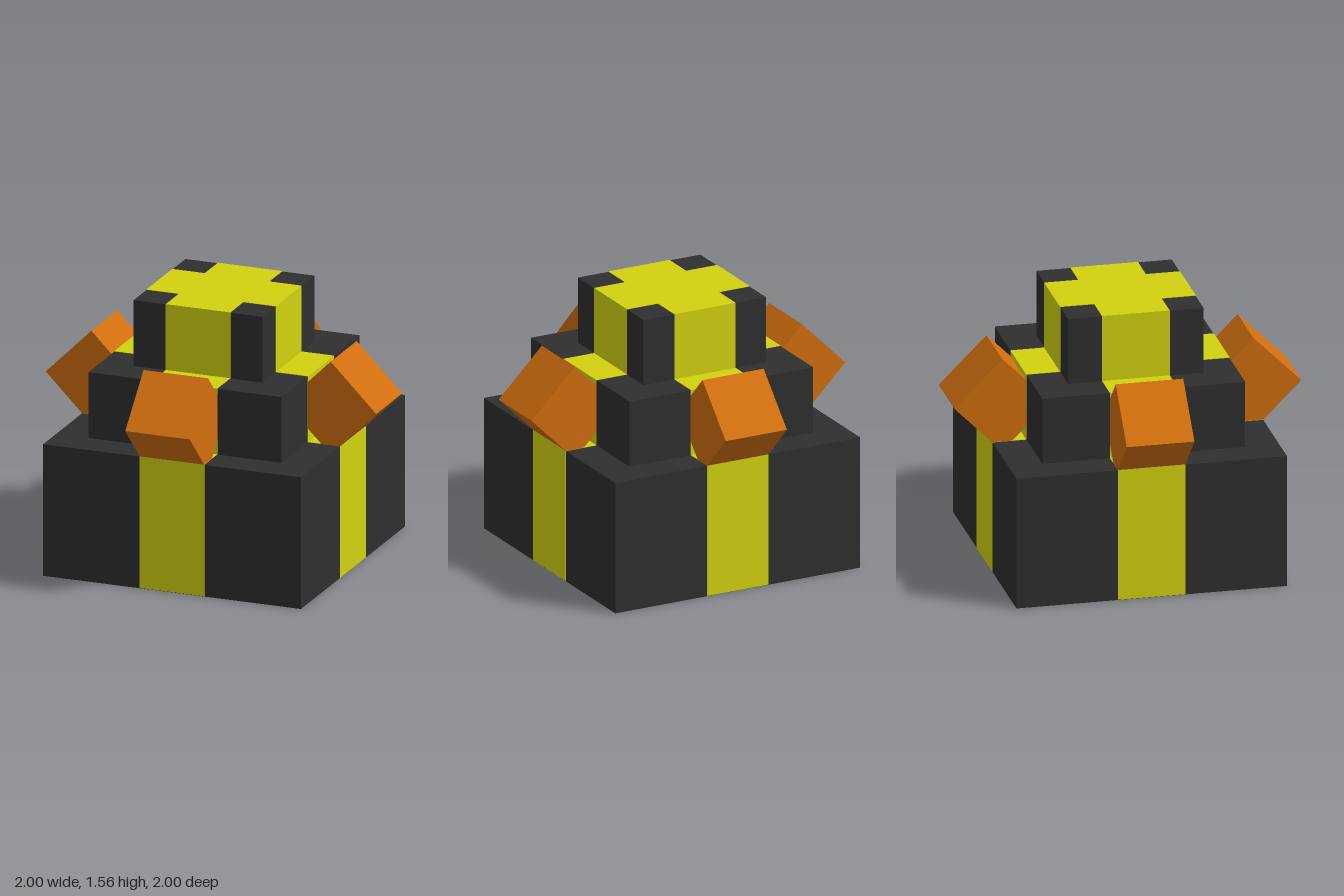
import * as THREE from 'three';

const U = 0.195; // half the width of a stripe
const SKIN = 0.002; // how far the stripes stand proud of the tiers

const charcoal = new THREE.MeshStandardMaterial({ color: 0x2f2f2f });
charcoal.name = 'charcoal';
const yellow = new THREE.MeshStandardMaterial({ color: 0xd2d210 });
yellow.name = 'yellow';
const orange = new THREE.MeshStandardMaterial({ color: 0xd16e0e });
orange.name = 'orange';

// Plus-shaped outline: arms of half width a reaching out to r
function crossShape(a, r) {
  return new THREE.Shape([
    [a, r], [-a, r], [-a, a], [-r, a], [-r, -a], [-a, -a],
    [-a, -r], [a, -r], [a, -a], [r, -a], [r, a], [a, a],
  ].map(([x, y]) => new THREE.Vector2(x, y)));
}

// Square tier with a stripe running up each side and across the top
function makeTier(name, half, bottom, height) {
  const tier = new THREE.Group();
  tier.name = name;
  const body = new THREE.Mesh(new THREE.BoxGeometry(half * 2, height, half * 2), charcoal);
  body.name = name + 'Body';
  body.position.y = bottom + height / 2;

  const geometry = new THREE.ExtrudeGeometry(crossShape(U, half + SKIN), { depth: height, bevelEnabled: false });
  geometry.rotateX(-Math.PI / 2);
  const stripes = new THREE.Mesh(geometry, yellow);
  stripes.name = name + 'Stripes';
  stripes.position.y = bottom + SKIN;
  tier.add(body, stripes);
  return tier;
}

export function createModel() {
  const model = new THREE.Group();
  model.name = 'tieredBlock';

  // Three stacked tiers
  model.add(makeTier('baseTier', 4 * U, 0, 4 * U));
  model.add(makeTier('middleTier', 3 * U, 4 * U, 2 * U));
  model.add(makeTier('topTier', 2 * U, 6 * U, 2 * U));

  // Cubes tipped by 45 degrees, one on each side of the middle tier
  const cube = new THREE.BoxGeometry(2 * U, 2 * U, 2 * U);
  cube.rotateX(Math.PI / 4);
  cube.translate(0, 1, 1 - U * Math.SQRT2);
  ['front', 'left', 'back', 'right'].forEach((side, i) => {
    const mesh = new THREE.Mesh(cube, orange);
    mesh.name = side + 'TiltedCube';
    mesh.rotation.y = (i * Math.PI) / 2;
    model.add(mesh);
  });

  return model;
}
